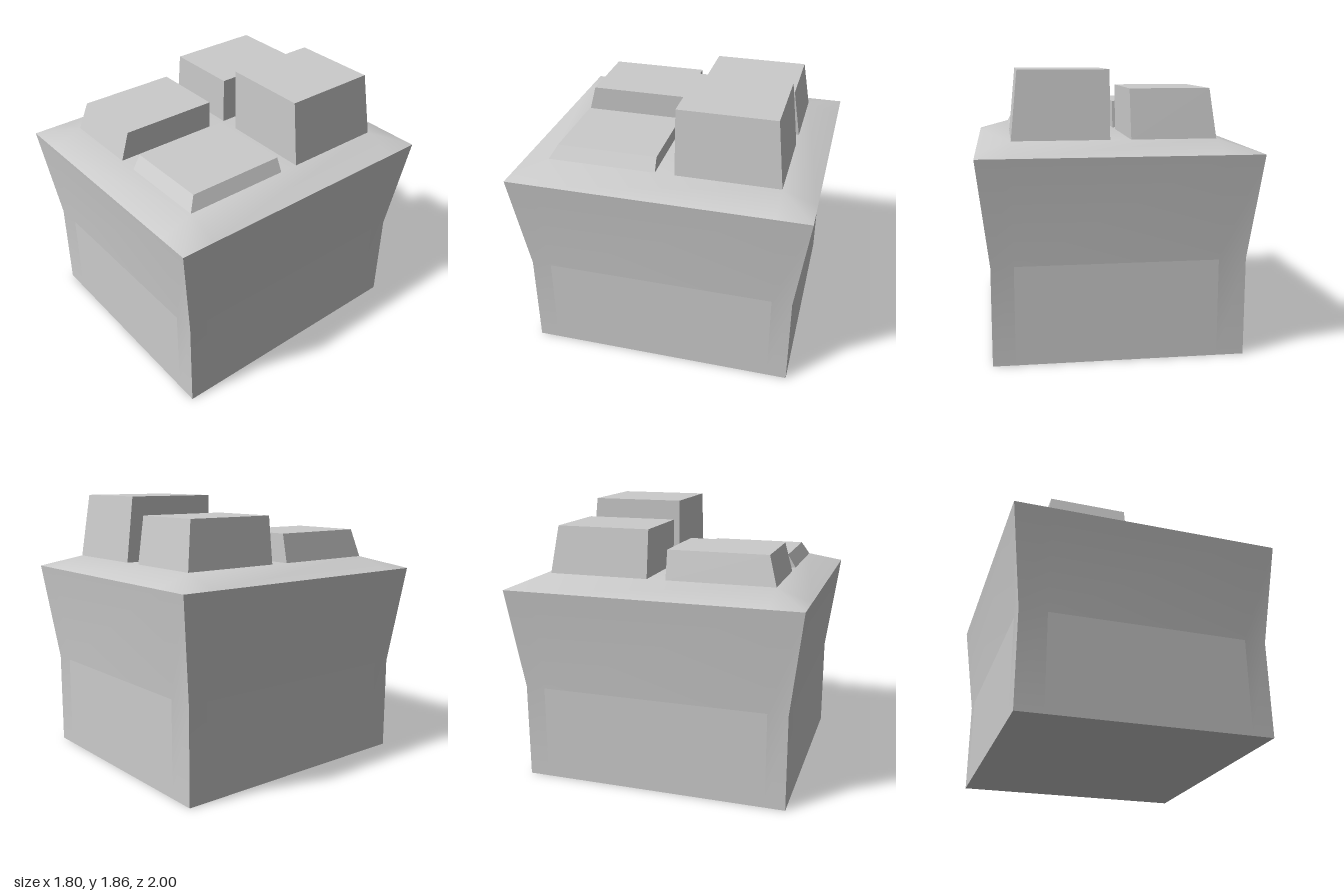
import * as THREE from 'three';
import { toCreasedNormals } from 'three/addons/utils/BufferGeometryUtils.js';

const X0 = -0.64, X1 = 0.675, Z = 0.775; // raised flat on top of the base
const TOP = 1.42;

// Closed loop of 12 points round a rectangle, three segments per side
function loop(hx, hz, y) {
  return [
    [-hx, hz], [X0, hz], [X1, hz],
    [hx, hz], [hx, Z], [hx, -Z],
    [hx, -hz], [X1, -hz], [X0, -hz],
    [-hx, -hz], [-hx, -Z], [-hx, Z],
  ].map(([x, z]) => [x, y, z]);
}

function quad(out, a, b, c, d) {
  out.push(...a, ...b, ...c, ...a, ...c, ...d);
}

function creased(points) {
  const geometry = new THREE.BufferGeometry();
  geometry.setAttribute('position', new THREE.Float32BufferAttribute(points, 3));
  return toCreasedNormals(geometry, Math.PI / 6);
}

// Box with separate footprints at the bottom and top: [xMin, xMax, zMin, zMax]
function taperedBlock(bottom, top, height) {
  const geometry = new THREE.BoxGeometry(1, 1, 1);
  const p = geometry.attributes.position;
  for (let i = 0; i < p.count; i++) {
    const upper = p.getY(i) > 0;
    const f = upper ? top : bottom;
    p.setXYZ(i, f[p.getX(i) > 0 ? 1 : 0], upper ? height : TOP, f[p.getZ(i) > 0 ? 3 : 2]);
  }
  geometry.computeVertexNormals();
  return geometry;
}

export function createModel() {
  const group = new THREE.Group();
  const material = new THREE.MeshStandardMaterial({ color: 0xcccccc });
  const add = (name, geometry) => {
    const mesh = new THREE.Mesh(geometry, material);
    mesh.name = name;
    group.add(mesh);
  };

  // Base: straight lower wall, flared upper wall, sloped rim
  const rings = [loop(0.82, 0.91, 0), loop(0.82, 0.91, 0.65), loop(0.9, 1, 1.34)];
  rings.push(rings[2].map(([x, , z]) => [
    THREE.MathUtils.clamp(x, X0, X1), TOP, THREE.MathUtils.clamp(z, -Z, Z),
  ]));
  const shell = [], panels = [];
  for (let r = 0; r < 3; r++) {
    for (let i = 0; i < 12; i++) {
      const j = (i + 1) % 12;
      // The middle of each lower wall is a flat panel with its own normals
      const target = r === 0 && i % 3 === 1 ? panels : shell;
      quad(target, rings[r][i], rings[r][j], rings[r + 1][j], rings[r + 1][i]);
    }
  }
  const corners = (ring) => [0, 3, 6, 9].map((i) => ring[i]);
  quad(shell, ...corners(rings[3]));
  quad(shell, ...corners(rings[0]).reverse());
  add('base', creased(shell));
  add('lowerWallPanels', creased(panels));

  // Four blocks of different heights; only their outer sides lean inward
  const xs = { Right: [[X0, -0.085], [-0.6, -0.08]], Left: [[0.05, X1], [0.048, 0.63]] };
  const zs = { front: [[0.045, Z], [0.045, 0.72]], back: [[-Z, -0.085], [-0.725, -0.083]] };
  const heights = { frontRight: 1.615, frontLeft: 1.51, backRight: 1.74, backLeft: 1.86 };
  for (const z in zs) {
    for (const x in xs) {
      const bottom = [...xs[x][0], ...zs[z][0]];
      const top = [...xs[x][1], ...zs[z][1]];
      add(`${z}${x}Block`, taperedBlock(bottom, top, heights[z + x]));
    }
  }
  return group;
}
